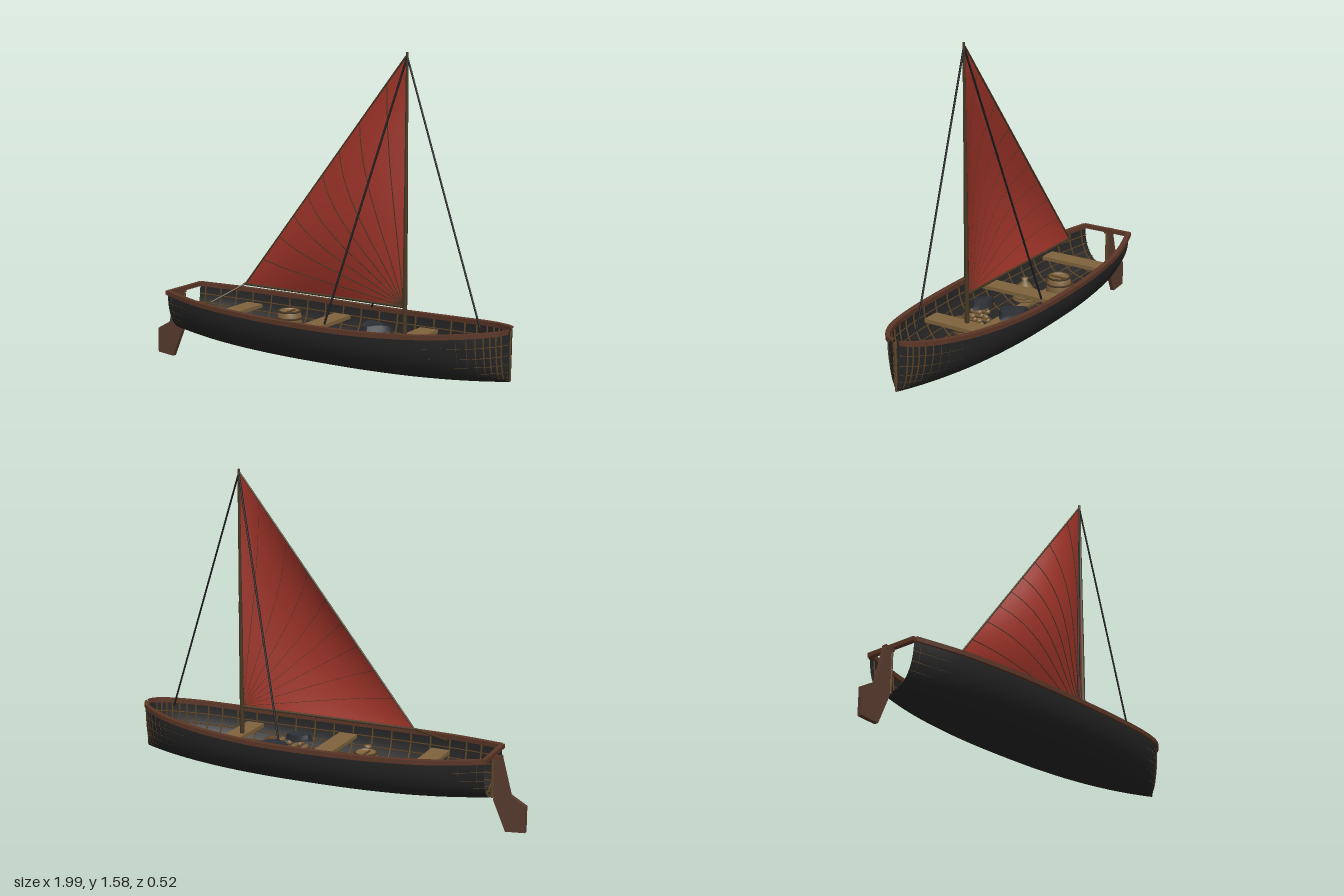
import * as THREE from 'three';

const V = (x, y, z) => new THREE.Vector3(x, y, z);
const mat = (name, color, side = THREE.FrontSide) => {
  const m = new THREE.MeshStandardMaterial({ color, side });
  m.name = name;
  return m;
};

export function createModel() {
  const boat = new THREE.Group();
  boat.name = 'sailingBoat';
  const tar = mat('tarredHull', 0x242424, THREE.DoubleSide);
  const sailRed = mat('sailRed', 0x9c3328, THREE.DoubleSide);
  const railWood = mat('railWood', 0x5a3526);
  const rudderWood = mat('rudderWood', 0x573a2d);
  const ribWood = mat('ribWood', 0x5f4527);
  const plank = mat('plankWood', 0x7e623c);
  const spar = mat('sparWood', 0x463723);
  const rope = mat('blackRope', 0x15171a);
  const cloth = mat('darkCloth', 0x2b2e33);

  const add = (name, geo, material, x = 0, y = 0, z = 0, parent = boat) => {
    const m = new THREE.Mesh(geo, material);
    m.name = name;
    m.position.set(x, y, z);
    parent.add(m);
    return m;
  };
  const rod = (name, a, b, r, material, r2 = r) => {
    const m = add(name, new THREE.CylinderGeometry(r2, r, a.distanceTo(b), 8), material);
    m.position.copy(a).lerp(b, 0.5);
    m.quaternion.setFromUnitVectors(V(0, 1, 0), b.clone().sub(a).normalize());
    return m;
  };
  const tube = (name, pts, r, material, sides = 5) =>
    add(name, new THREE.TubeGeometry(new THREE.CatmullRomCurve3(pts), pts.length * 2, r, sides), material);
  const range = (n, f) => Array.from({ length: n + 1 }, (_, i) => f(i / n));

  // Smooth sheet from a rule p(u, v)
  const sheet = (p, nu, nv) => {
    const pos = [], idx = [];
    for (let i = 0; i <= nu; i++) for (let j = 0; j <= nv; j++) {
      pos.push(...p(i / nu, j / nv).toArray());
      if (i < nu && j < nv) {
        const a = i * (nv + 1) + j, b = a + nv + 1;
        idx.push(a, b, a + 1, b, b + 1, a + 1);
      }
    }
    const g = new THREE.BufferGeometry();
    g.setAttribute('position', new THREE.Float32BufferAttribute(pos, 3));
    g.setIndex(idx);
    g.computeVertexNormals();
    return g;
  };

  // Hull: stations hold x, sheer height and half breadth
  const stations = new THREE.CatmullRomCurve3([
    V(-0.835, 0.365, 0.13), V(-0.6, 0.352, 0.2), V(-0.3, 0.343, 0.24), V(0, 0.339, 0.25),
    V(0.3, 0.341, 0.243), V(0.6, 0.355, 0.205), V(0.8, 0.372, 0.15), V(0.9, 0.382, 0.1),
    V(0.96, 0.389, 0.052), V(0.983, 0.392, 0.012)]);
  const hullPoint = (u, v, s = 1) => {
    const p = stations.getPoint(u), t = v * Math.PI, c = Math.cos(t);
    const keel = 0.12 + 0.042 * Math.pow(Math.abs(p.x - 0.075) / 0.91, 2.6);
    return V(p.x, p.y - (p.y - keel) * s * Math.pow(Math.abs(Math.sin(t)), 0.9),
      p.z * s * Math.sign(c) * Math.pow(Math.abs(c), 0.85));
  };
  add('hull', sheet((u, v) => hullPoint(u, v), 60, 40), tar);

  // Frames and stringers lining the inside
  for (let i = 0; i < 24; i++) {
    const u = 0.015 + i * 0.038;
    tube('rib', range(16, v => hullPoint(u, v, 0.975)), 0.0045, ribWood, 4);
  }
  for (let k = 1; k < 14; k++) {
    tube('stringer', range(24, u => hullPoint(u * 0.97, k / 14, 0.985)), 0.003, ribWood, 4);
  }

  // Gunwale, square in section, on both sides
  const corners = [[0.012, -0.012], [0.012, 0.009], [-0.014, 0.009], [-0.014, -0.012], [0.012, -0.012]];
  for (const side of [1, -1]) {
    const rail = sheet((u, v) => {
      const p = stations.getPoint(u), [dz, dy] = corners[Math.round(v * 4)];
      return V(p.x, p.y + dy, side * Math.max(p.z + dz, 0.002));
    }, 60, 4).toNonIndexed();
    if (side < 0) {
      const a = rail.attributes.position;
      for (let i = 0; i < a.count; i += 3) {
        const p = V().fromBufferAttribute(a, i), q = V().fromBufferAttribute(a, i + 1);
        a.setXYZ(i, q.x, q.y, q.z);
        a.setXYZ(i + 1, p.x, p.y, p.z);
      }
    }
    rail.computeVertexNormals();
    add('gunwale', rail, railWood);
  }
  add('sternRail', new THREE.BoxGeometry(0.022, 0.02, 0.27), railWood, -0.835, 0.363, 0);
  rod('stemPost', V(0.98, 0.165, 0), V(0.98, 0.39, 0), 0.006, ribWood);
  rod('sternPost', V(-0.835, 0.155, 0), V(-0.835, 0.36, 0), 0.007, ribWood);

  // Rudder blade and its head
  const blade = new THREE.Shape([[-0.877, 0.362], [-0.925, 0.18], [-1, 0.137], [-1, 0.012],
    [-0.905, 0.004], [-0.845, 0.145], [-0.845, 0.345]].map(p => new THREE.Vector2(...p)));
  add('rudder', new THREE.ExtrudeGeometry(blade, { depth: 0.022, bevelEnabled: false }), rudderWood, 0, 0, -0.011);
  add('rudderHead', new THREE.BoxGeometry(0.05, 0.015, 0.026), railWood, -0.855, 0.35, 0);

  // Thwarts and floor boards
  for (const [x, half] of [[-0.52, 0.17], [-0.025, 0.212], [0.47, 0.188]])
    add('thwart', new THREE.BoxGeometry(0.092, 0.018, half * 2), plank, x, 0.285, 0);
  for (const z of [-0.062, 0.062])
    add('floorBoard', new THREE.BoxGeometry(1.22, 0.014, 0.045), plank, 0.09, 0.165, z);

  // Mast, boom and standing rigging
  const head = V(0.447, 1.565, 0);
  rod('lowerMast', V(0.447, 0.14, 0), V(0.447, 0.95, 0), 0.012, spar, 0.0095);
  rod('upperMast', V(0.447, 0.95, 0), V(0.447, 1.585, 0), 0.0085, spar, 0.006);
  rod('boom', V(0.447, 0.43, 0), V(-0.46, 0.43, 0), 0.007, spar, 0.006);
  for (const z of [-0.208, 0.208]) rod('shroud', head, V(0.145, 0.352, z), 0.0048, rope);
  rod('forestay', head, V(0.83, 0.385, 0), 0.0045, rope);
  rod('mainsheet', V(-0.455, 0.43, 0), V(-0.56, 0.35, 0.14), 0.005, spar);

  // Sail fanning out from the tack, bellied towards +z
  const tack = V(0.44, 0.433, 0), clew = V(-0.45, 0.433, 0), peak = V(0.442, 1.568, 0);
  const sailPoint = (r, a, lift = 0) => {
    const p = clew.clone().lerp(peak, a).sub(tack).multiplyScalar(r).add(tack);
    p.z = 27 * 0.069 * (1 - r) * r * (1 - a) * r * a + lift;
    return p;
  };
  add('sail', sheet((r, a) => sailPoint(r, a), 24, 32), sailRed);
  rod('leechRope', clew, peak, 0.0045, spar);
  for (let k = 0; k < 8; k++) {
    const s = Math.tan(THREE.MathUtils.degToRad(5.5 + k * 10.7));
    const a = 1 / (1 + s * 1.135 / 0.89);
    tube('sailSeam', range(12, r => sailPoint(r, a, 0.0015)), 0.0024, spar, 4);
  }

  // Barrel with hoops and lid
  const barrel = new THREE.Group();
  barrel.name = 'barrel';
  barrel.position.set(-0.24, 0.172, -0.07);
  boat.add(barrel);
  const staves = [[0, 0], [0.05, 0], [0.06, 0.035], [0.063, 0.07], [0.06, 0.105], [0.053, 0.14], [0.047, 0.14], [0.047, 0.13], [0, 0.13]];
  add('barrelBody', new THREE.LatheGeometry(staves.map(p => new THREE.Vector2(...p)), 20), plank, 0, 0, 0, barrel);
  for (const [y, r] of [[0.03, 0.058], [0.105, 0.06], [0.138, 0.054]])
    add('barrelHoop', new THREE.TorusGeometry(r, 0.005, 6, 24).rotateX(Math.PI / 2), spar, 0, y, 0, barrel);
  add('lidBatten', new THREE.BoxGeometry(0.008, 0.008, 0.09), ribWood, 0, 0.133, 0, barrel);

  // Rope coils
  const coil = (x, y, z, r, layers, material) => {
    for (let k = 0; k < layers; k++) for (const d of [0, 0.016])
      add('ropeCoil', new THREE.TorusGeometry(r - d, 0.009, 6, 20).rotateX(Math.PI / 2), material, x, y + k * 0.015, z);
  };
  coil(0.64, 0.19, 0, 0.055, 3, ribWood);
  coil(-0.18, 0.185, 0.09, 0.052, 3, plank);
  coil(0.34, 0.185, 0.11, 0.03, 5, ribWood);

  // Sack with a tied neck
  const sack = [[0, 0], [0.035, 0], [0.046, 0.025], [0.035, 0.06], [0.012, 0.085], [0.017, 0.1], [0, 0.1]];
  add('sack', new THREE.LatheGeometry(sack.map(p => new THREE.Vector2(...p)), 14), plank, -0.18, 0.19, 0.09);

  // Stacked bales under folded dark cloth
  for (let k = 0; k < 4; k++) for (const z of [-0.1, 0.1])
    for (let i = 0; i < 3; i++)
      add('bale', new THREE.CapsuleGeometry(0.012, 0.04, 3, 8).rotateX(Math.PI / 2), plank,
        0.16 + i * 0.055 + (k % 2) * 0.015, 0.185 + k * 0.022, z);
  const drape = (x, y, z, w, d) => {
    const g = new THREE.CylinderGeometry(0.85, 1, 0.03, 11, 1);
    const p = g.attributes.position;
    for (let i = 0; i < p.count; i++) {
      const a = Math.atan2(p.getZ(i), p.getX(i)), k = 1 + 0.16 * Math.sin(a * 3 + x * 9) + 0.1 * Math.cos(a * 5);
      p.setXYZ(i, p.getX(i) * k * w, p.getY(i) + 0.006 * Math.sin(a * 2), p.getZ(i) * k * d);
    }
    g.computeVertexNormals();
    add('foldedCloth', g, cloth, x, y, z);
  };
  drape(0.225, 0.285, -0.095, 0.078, 0.065);
  drape(0.18, 0.28, 0.1, 0.065, 0.042);

  return boat;
}
